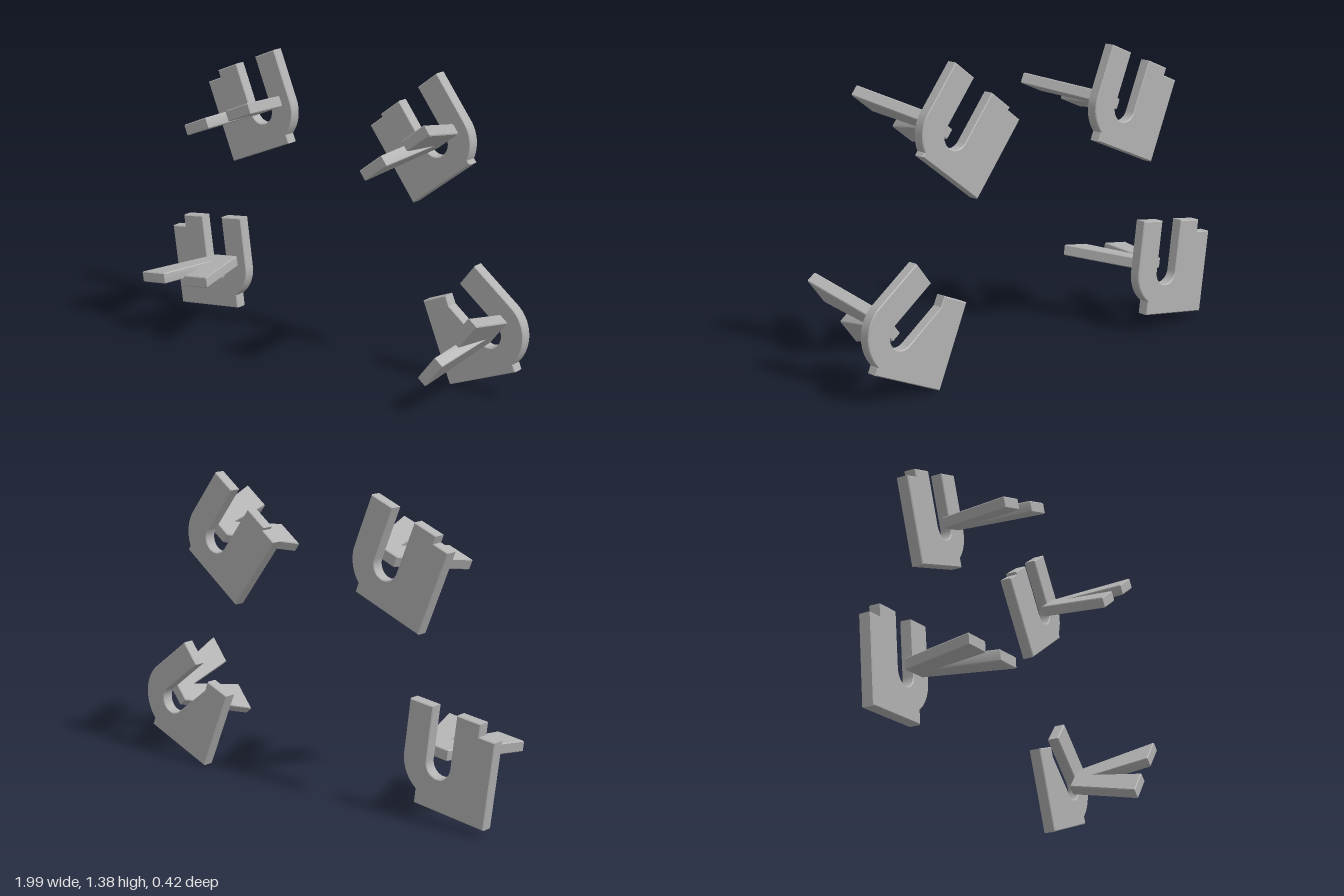
import * as THREE from 'three';
import { toCreasedNormals } from 'three/addons/utils/BufferGeometryUtils.js';

const PLATE_BACK = -0.21, PLATE_FRONT = -0.155, BEVEL = 0.004;

// Extrudes a closed outline to an exact depth with a fine chamfer, starting at depth 0
function chamferedSlab(points, depth) {
  const geometry = new THREE.ExtrudeGeometry(new THREE.Shape(points), {
    depth: depth - 2 * BEVEL, bevelThickness: BEVEL, bevelSize: BEVEL,
    bevelOffset: -BEVEL, bevelSegments: 1,
  });
  geometry.translate(0, 0, BEVEL);
  return toCreasedNormals(geometry, 0.5);
}

// Base block merged with a U-shaped hook; the hook may slide (centre) and tilt
function plateOutline({ hook, tilt, notchAngle, tab }) {
  const R = 0.181, RY = 0.166, r = 0.0605, arm = 0.241, width = 0.36, height = 0.386;
  const centre = new THREE.Vector2(...hook);
  const at = (x, y) => new THREE.Vector2(x, y).rotateAround(new THREE.Vector2(), tilt).add(centre);
  const pts = [new THREE.Vector2(0, 0), new THREE.Vector2(width, 0)];
  // outer curve of the hook, from the notch up to the free arm
  for (let i = 0; i <= 18; i++) {
    const a = notchAngle * (1 - i / 18);
    pts.push(at(R * Math.cos(a), RY * Math.sin(a)));
  }
  pts.push(at(R, arm), at(r, arm));
  // inner curve of the slot
  for (let i = 0; i <= 20; i++) {
    const a = -Math.PI * i / 20;
    pts.push(at(r * Math.cos(a), r * Math.sin(a)));
  }
  if (tab) {
    // the slot wall runs into the side of the base
    const t = (centre.x - r * Math.cos(tilt) - tab) / Math.sin(tilt);
    pts.push(at(-r, t), new THREE.Vector2(tab, height));
  } else {
    pts.push(at(-r, arm), at(-R, arm), new THREE.Vector2(centre.x - R, height));
  }
  pts.push(new THREE.Vector2(0, height));
  return pts;
}

// Forked prong, narrow at the plate and split in two towards the front
function prongGeometry() {
  const thick = 0.05;
  const outline = [
    [-0.2, 0.21], [-0.064, 0.21], [0, -0.053], [0.064, 0.21], [0.2, 0.21],
    [0.067, PLATE_FRONT - 0.002], [-0.067, PLATE_FRONT - 0.002],
  ].map(([x, z]) => new THREE.Vector2(x, -z));
  const geometry = chamferedSlab(outline, thick);
  geometry.translate(0, 0, -thick / 2);
  geometry.rotateX(-Math.PI / 2);
  return geometry;
}

export function createModel() {
  const model = new THREE.Group();
  model.name = 'hookSet';
  const grey = new THREE.MeshStandardMaterial({ color: 0xb2b2b2 });
  grey.name = 'plainGrey';
  const deg = THREE.MathUtils.degToRad;
  const prongGeo = prongGeometry();

  // corner: lower left corner of each plate; prong: centre of its fork
  const pieces = [
    { name: 'upperRight', corner: [-0.607, 0.81], angle: 22.4, hook: [0.26, 0.18], prong: [-0.382, 1.112] },
    { name: 'upperLeft', corner: [0.417, 0.794], angle: 37.2, hook: [0.26, 0.159], prong: [0.575, 1.115] },
    { name: 'lowerRight', corner: [-0.949, 0.04], angle: 7.6, hook: [0.26, 0.201], prong: [-0.659, 0.313] },
    { name: 'lowerLeft', corner: [0.628, 0.003], angle: 22.7, hook: [0.286, 0.183], prong: [0.853, 0.316],
      tilt: 29.8, notch: -93, tab: 0.128 },
  ];

  for (const p of pieces) {
    const group = new THREE.Group();
    group.name = p.name + 'Hook';
    const tilt = p.tilt ?? 0;

    const outline = plateOutline({
      hook: p.hook, tilt: deg(tilt), notchAngle: deg(p.notch ?? -56.4), tab: p.tab,
    });
    const plate = new THREE.Mesh(chamferedSlab(outline, PLATE_FRONT - PLATE_BACK), grey);
    plate.name = 'hookPlate';
    plate.position.set(p.corner[0], p.corner[1], PLATE_BACK);
    plate.rotation.z = deg(p.angle);

    const prong = new THREE.Mesh(prongGeo, grey);
    prong.name = 'forkedProng';
    prong.position.set(p.prong[0], p.prong[1], 0);
    prong.rotation.z = deg(p.angle + tilt);

    group.add(plate, prong);
    model.add(group);
  }
  return model;
}
